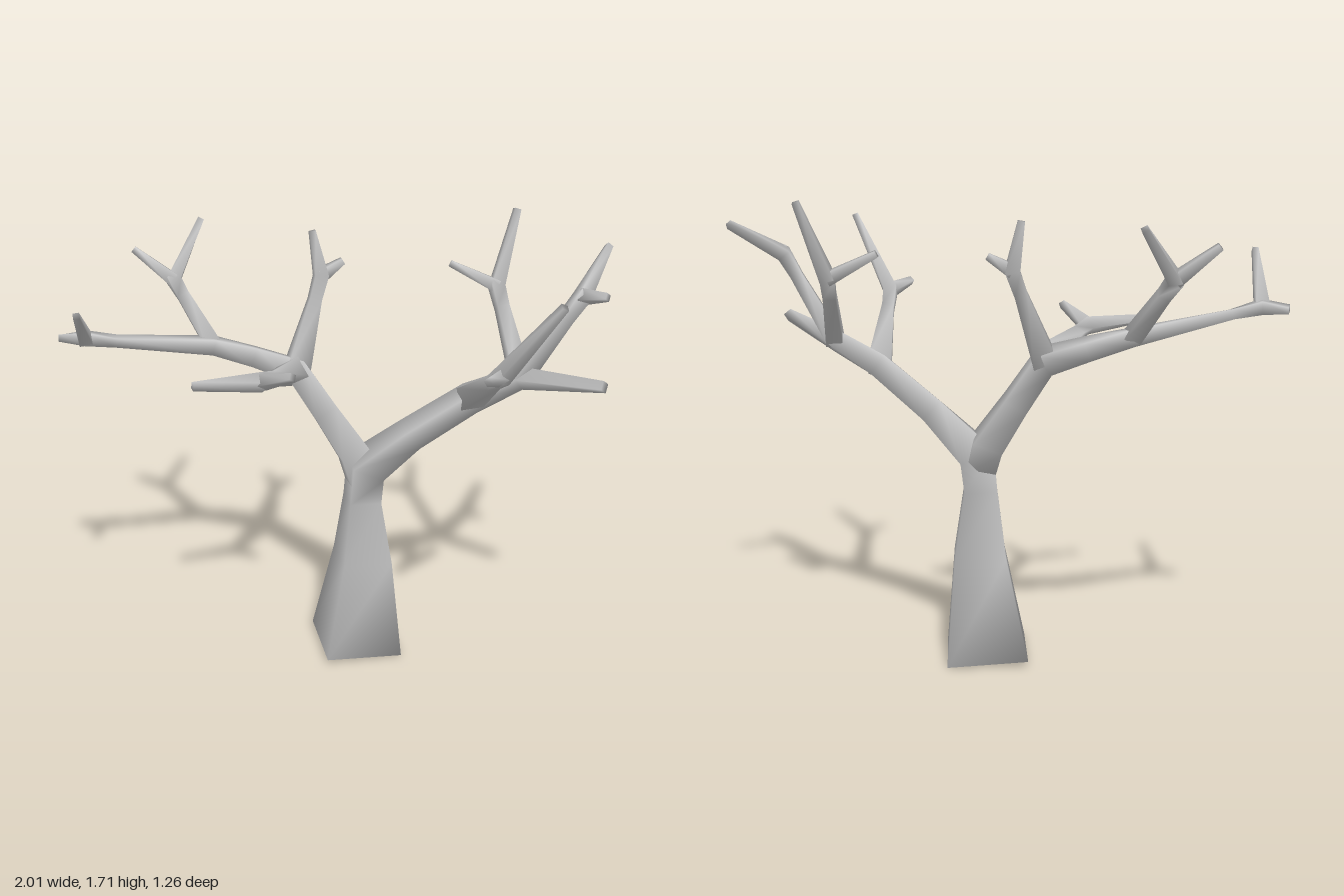
import * as THREE from 'three';

const bark = new THREE.MeshStandardMaterial({ color: 0xc0c0c0 });
bark.name = 'greyBark';

// Square-section limb with smooth normals through points [x, y, z, halfWidth]
function limb(name, points) {
  const UP = new THREE.Vector3(0, 1, 0);
  const centres = points.map(([x, y, z]) => new THREE.Vector3(x, y, z));
  const corners = [[1, 1], [-1, 1], [-1, -1], [1, -1]];
  const last = points.length - 1;
  const pos = [], index = [];
  centres.forEach((c, i) => {
    const t = new THREE.Vector3();
    if (i > 0) t.add(c.clone().sub(centres[i - 1]).normalize());
    if (i < last) t.add(centres[i + 1].clone().sub(c).normalize());
    const q = new THREE.Quaternion().setFromUnitVectors(UP, t.normalize());
    const r = points[i][3];
    for (const [u, v] of corners) {
      const p = new THREE.Vector3(v * r, 0, u * r).applyQuaternion(q).add(c);
      pos.push(p.x, p.y, p.z);
    }
    if (i === last) return;
    for (let j = 0; j < 4; j++) {
      const a = i * 4 + j, b = i * 4 + (j + 1) % 4;
      index.push(a, b, b + 4, a, b + 4, a + 4);
    }
  });
  const e = last * 4;
  index.push(0, 2, 1, 0, 3, 2, e, e + 1, e + 2, e, e + 2, e + 3);
  const g = new THREE.BufferGeometry();
  g.setAttribute('position', new THREE.Float32BufferAttribute(pos, 3));
  g.setIndex(index);
  g.computeVertexNormals();
  const mesh = new THREE.Mesh(g, bark);
  mesh.name = name;
  return mesh;
}

// Branch from a joint to a knot that splits into two twigs
function forkedBranch(name, start, knot, twigA, twigB) {
  const group = new THREE.Group();
  group.name = name;
  const mid = start.map((s, i) => s + (knot[i] - s) * 0.75);
  mid[3] = 0.023;
  group.add(limb('branchAndTwig', [start, mid, [...knot, 0.026], [...twigA, 0.012]]));
  group.add(limb('sideTwig', [[...knot, 0.024], [...twigB, 0.012]]));
  return group;
}

export function createModel() {
  const tree = new THREE.Group();
  tree.name = 'bareTree';

  // Joints where several branches meet
  const leftJoint = [0.46, 1.09, 0.06, 0.043];
  const leftOuter = [0.63, 1.18, 0.12, 0.032];
  const rightJoint = [-0.14, 1.15, -0.21, 0.045];
  const rightOuter = [-0.44, 1.245, -0.29, 0.03];

  // Trunk running on into the left bough
  tree.add(limb('trunkAndLeftBough', [
    [0.065, 0.012, -0.08, 0.15],
    [0.09, 0.4, -0.08, 0.095],
    [0.087, 0.65, -0.078, 0.061],
    [0.1, 0.78, -0.085, 0.066],
    [0.26, 0.93, -0.02, 0.047],
    leftJoint,
    leftOuter,
    [0.835, 1.24, 0.41, 0.017],
  ]));

  // Right bough
  tree.add(limb('rightBough', [
    [0.09, 0.72, -0.085, 0.055],
    [0.06, 0.83, -0.11, 0.056],
    [-0.04, 0.99, -0.16, 0.046],
    rightJoint,
    [-0.29, 1.2, -0.255, 0.036],
    rightOuter,
    [-0.8, 1.315, -0.225, 0.018],
    [-0.91, 1.34, -0.21, 0.024],
    [-1.0, 1.335, -0.245, 0.013],
  ]));
  tree.add(limb('rightEndTwig', [[-0.91, 1.335, -0.21, 0.024], [-0.94, 1.52, 0.07, 0.011]]));

  // Forked branches: name, start, knot, two twig ends
  const branches = [
    ['leftFrontBranch', leftJoint, [0.435, 1.33, 0.46], [0.58, 1.62, 0.62], [0.355, 1.36, 0.56]],
    ['leftOuterBranch', leftOuter, [0.82, 1.5, 0.19], [0.99, 1.62, 0.0], [0.88, 1.52, 0.275]],
    ['leftBackBranch', leftOuter, [0.625, 1.44, -0.17], [0.72, 1.71, -0.25], [0.45, 1.53, -0.2]],
    ['rightBackBranch', rightJoint, [-0.02, 1.48, -0.32], [-0.05, 1.65, -0.33], [0.065, 1.53, -0.325]],
    ['rightFrontBranch', rightJoint, [-0.32, 1.235, 0.09], [-0.57, 1.26, 0.14], [-0.235, 1.3, 0.23]],
    ['rightOuterBranch', rightOuter, [-0.56, 1.46, -0.45], [-0.43, 1.64, -0.62], [-0.7, 1.575, -0.495]],
  ];
  for (const b of branches) tree.add(forkedBranch(...b));

  return tree;
}
